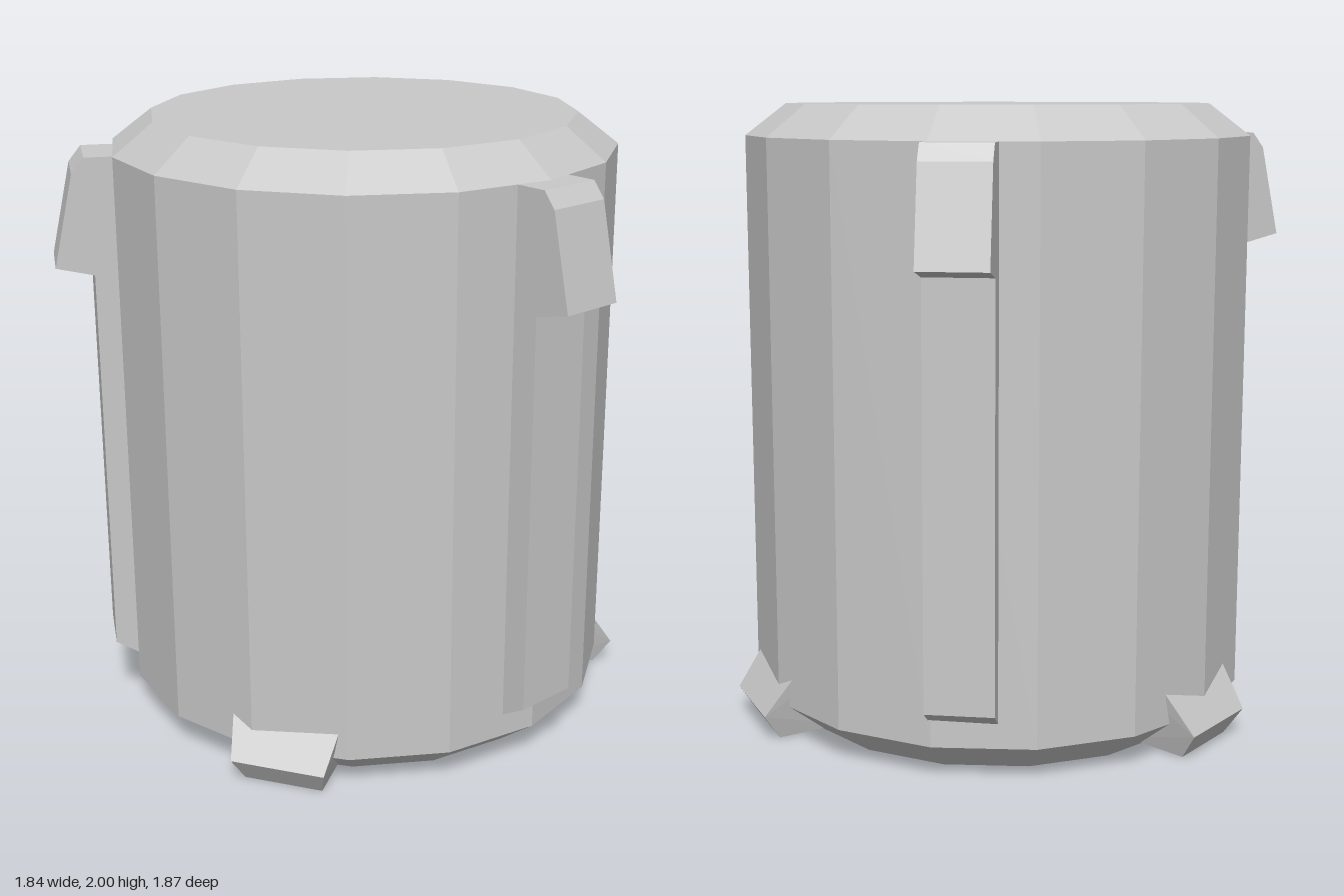
import * as THREE from 'three';
import { ConvexGeometry } from 'three/addons/geometries/ConvexGeometry.js';

const AXIS_X = -0.005, AXIS_Z = -0.065;

// Block pointing along +z, from a side profile of [radius, height, half width]
function block(profile, shift = 0) {
  const points = [];
  for (const [r, y, w] of profile) {
    points.push(new THREE.Vector3(shift - w, y, r), new THREE.Vector3(shift + w, y, r));
  }
  return new ConvexGeometry(points);
}

export function createModel() {
  const model = new THREE.Group();
  model.name = 'canister';
  const grey = new THREE.MeshStandardMaterial({ color: 0xc8c8c8 });
  grey.name = 'light grey';

  // Everything sits around the canister's axis
  const assembly = new THREE.Group();
  assembly.name = 'assembly';
  assembly.position.set(AXIS_X, 0, AXIS_Z);
  model.add(assembly);

  const add = (name, geometry, angle = 0) => {
    const mesh = new THREE.Mesh(geometry, grey);
    mesh.name = name;
    mesh.rotation.y = THREE.MathUtils.degToRad(angle);
    assembly.add(mesh);
  };

  // Sixteen-sided body with chamfered ends
  const outline = [[0, 0], [0.675, 0], [0.815, 0.11], [0.815, 1.9], [0.685, 2], [0, 2]];
  const body = new THREE.LatheGeometry(outline.map(([r, y]) => new THREE.Vector2(r, y)), 16).toNonIndexed();
  body.computeVertexNormals();
  add('body', body);

  // Upper hooks and the rails below them, set slightly to one side
  const w = 0.105, shift = -0.01;
  const hook = block([[0.7, 1.9, w], [0.895, 1.9, w], [0.935, 1.85, w], [1, 1.555, w], [0.88, 1.53, w], [0.7, 1.485, w]], shift);
  const rail = block([[0.7, 1.6, w], [0.88, 1.6, w], [0.88, 0.24, w], [0.7, 0.13, w]], shift);
  for (const angle of [0, 120, 240]) {
    add('hook', hook, angle);
    add('rail', rail, angle);
  }

  // Tapered feet between the rails, their undersides rising slightly inward
  const foot = block([[0.6, 0.015, 0.13], [0.815, 0, 0.13], [0.87, 0.085, 0.155], [0.74, 0.265, 0.19], [0.6, 0.265, 0.19]]);
  for (const angle of [60, 180, 300]) add('foot', foot, angle);

  return model;
}
